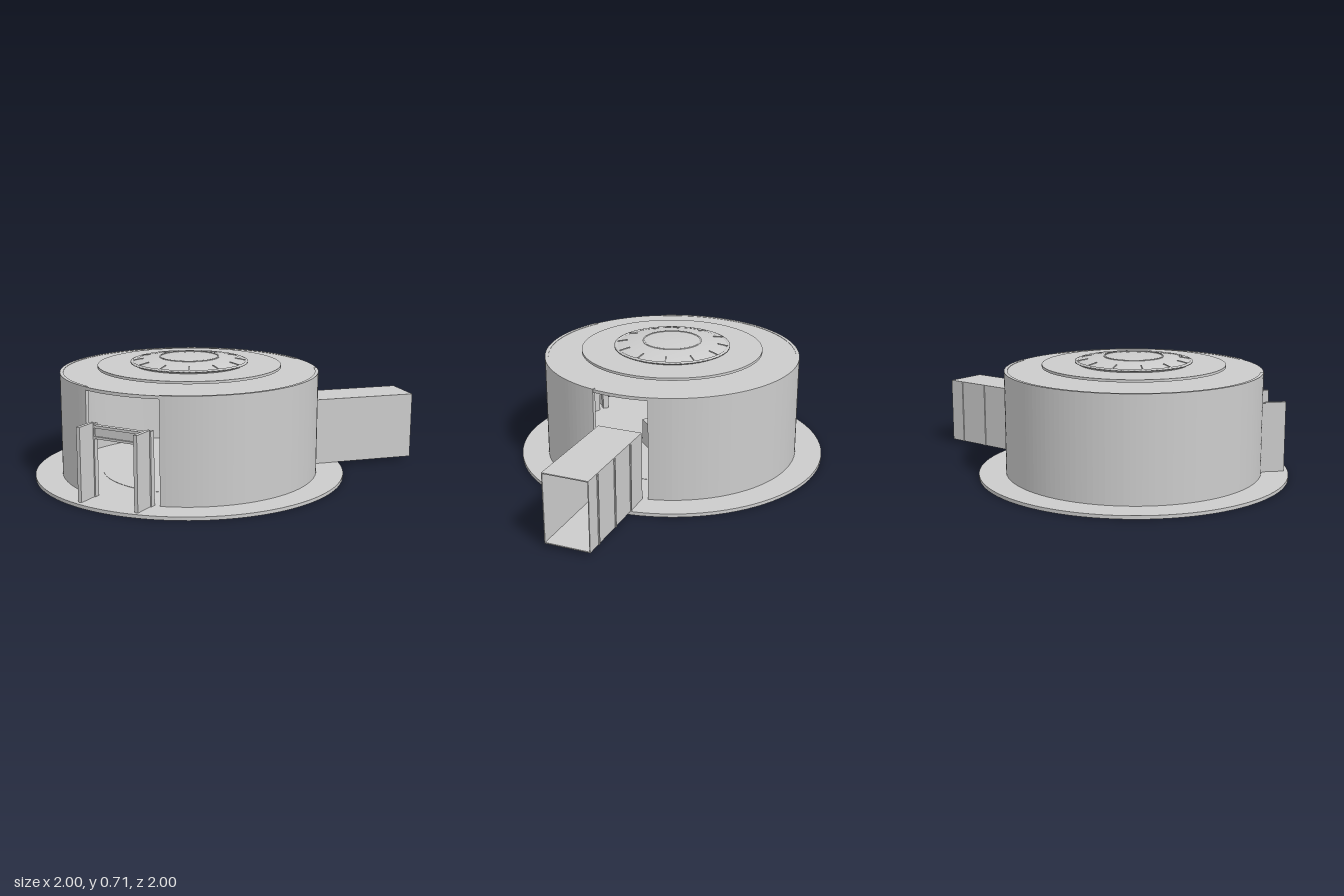
import * as THREE from 'three';

const deg = Math.PI / 180;

export function createModel() {
  const grey = new THREE.MeshStandardMaterial({ color: 0xcccccc, side: THREE.DoubleSide });
  grey.name = 'light grey';

  const model = new THREE.Group();
  model.name = 'roundHall';
  model.position.set(-0.08, 0, 0.08); // the round hall sits off centre, balancing the tunnel

  const add = (name, geometry, parent = model) => {
    const mesh = new THREE.Mesh(geometry, grey);
    mesh.name = name;
    parent.add(mesh);
    return mesh;
  };
  // box given by its lower and upper limits
  const box = (name, [x0, x1], [y0, y1], [z0, z1], parent) => {
    const mesh = add(name, new THREE.BoxGeometry(x1 - x0, y1 - y0, z1 - z0), parent);
    mesh.position.set((x0 + x1) / 2, (y0 + y1) / 2, (z0 + z1) / 2);
    return mesh;
  };
  const disc = (name, r, y0, y1, sides = 64) => {
    const mesh = add(name, new THREE.CylinderGeometry(r, r, y1 - y0, sides));
    mesh.position.y = (y0 + y1) / 2;
    return mesh;
  };
  const lathe = (name, points) =>
    add(name, new THREE.LatheGeometry(points.map(([r, y]) => new THREE.Vector2(r, y)), 64));

  // Ground plate and floor
  disc('basePlate', 0.92, 0, 0.02, 96);
  disc('floorDisc', 0.52, 0.019, 0.022);

  // Curved walls, leaving a front doorway and a gap for the tunnel
  const wall = (name, a0, a1) => {
    const shape = new THREE.Shape();
    shape.absarc(0, 0, 0.76, a0 * deg, a1 * deg, false);
    shape.absarc(0, 0, 0.74, a1 * deg, a0 * deg, true);
    const geometry = new THREE.ExtrudeGeometry(shape, {
      depth: 0.607, bevelEnabled: false, curveSegments: Math.round((a1 - a0) / 5),
    });
    geometry.rotateX(-Math.PI / 2);
    add(name, geometry).position.y = 0.02;
  };
  wall('rightWall', 57.4, 252);
  wall('leftWall', 288, 392.6);

  // Roof slab and raised ring
  disc('roofSlab', 0.758, 0.607, 0.625, 72);
  disc('ringSupport', 0.345, 0.625, 0.647);
  disc('roofRing', 0.54, 0.645, 0.66, 72);

  // Skylight with rim, ribs and a centre lens
  lathe('skylightRim', [[0.325, 0.66], [0.335, 0.668], [0.346, 0.67], [0.346, 0.678], [0.335, 0.682], [0.328, 0.678]]);
  lathe('skylightDome', [[0.335, 0.675], [0.31, 0.683], [0.26, 0.691], [0.21, 0.698], [0.175, 0.701]]);
  lathe('lensRim', [[0.176, 0.7], [0.176, 0.705], [0.168, 0.705], [0.168, 0.7]]);
  lathe('lens', [[0.17, 0.702], [0.12, 0.706], [0.06, 0.708], [0, 0.709]]);
  for (let i = 0; i < 12; i++) {
    const pivot = new THREE.Group();
    pivot.name = 'skylightRib';
    pivot.rotation.y = i * 30 * deg;
    model.add(pivot);
    const rib = box('rib', [0.27, 0.335], [0.681, 0.688], [-0.003, 0.003], pivot);
    rib.rotation.z = -0.19;
  }

  // Bowl hanging below the ceiling, carried by a central pole
  lathe('ceilingBowl', [[0, 0.565], [0.09, 0.569], [0.18, 0.58], [0.26, 0.596], [0.345, 0.62]]);
  const pole = disc('centrePole', 0.011, 0.02, 0.57, 16);
  pole.position.z = -0.02;

  // Stepped platform around the pole
  box('platformBase', [-0.05, 0.16], [0.02, 0.045], [-0.12, 0.12]);
  box('lowStep', [-0.03, 0.095], [0.02, 0.13], [-0.06, 0.09]);
  box('middleStep', [0.095, 0.16], [0.02, 0.18], [-0.06, 0.09]);
  box('highStep', [0.03, 0.16], [0.02, 0.24], [-0.12, -0.06]);

  // Front doorway: projecting fins, posts and lintel
  for (const s of [-1, 1]) {
    const span = (a, b) => (s < 0 ? [-b, -a] : [a, b]);
    box('doorFin', span(0.17, 0.192), [0.02, 0.44], [0.75, 0.875]);
    box('doorPost', span(0.163, 0.2), [0.02, 0.435], [0.72, 0.752]);
  }
  box('doorLintel', [-0.2, 0.2], [0.35, 0.363], [0.72, 0.752]);
  box('doorHeader', [-0.2, 0.2], [0.41, 0.425], [0.72, 0.752]);
  box('doorPanel', [-0.2, 0.2], [0.363, 0.41], [0.73, 0.742]);

  // Entrance tunnel leaving at the back left corner, open at its end
  const tunnel = new THREE.Group();
  tunnel.name = 'tunnel';
  tunnel.rotation.y = 45 * deg;
  model.add(tunnel);
  const along = [0.75, 1.395];
  box('tunnelFloor', along, [0.02, 0.026], [-0.131, 0.131], tunnel);
  box('tunnelRoof', along, [0.414, 0.42], [-0.131, 0.131], tunnel);
  box('tunnelLeftWall', along, [0.02, 0.42], [0.126, 0.131], tunnel);
  box('tunnelRightWall', along, [0.02, 0.42], [-0.131, -0.126], tunnel);
  for (const x of [0.905, 1.1, 1.297]) {
    box('tunnelRib', [x - 0.005, x + 0.005], [0.02, 0.415], [-0.137, -0.118], tunnel);
  }

  const group = new THREE.Group();
  group.name = 'building';
  group.add(model);
  return group;
}
